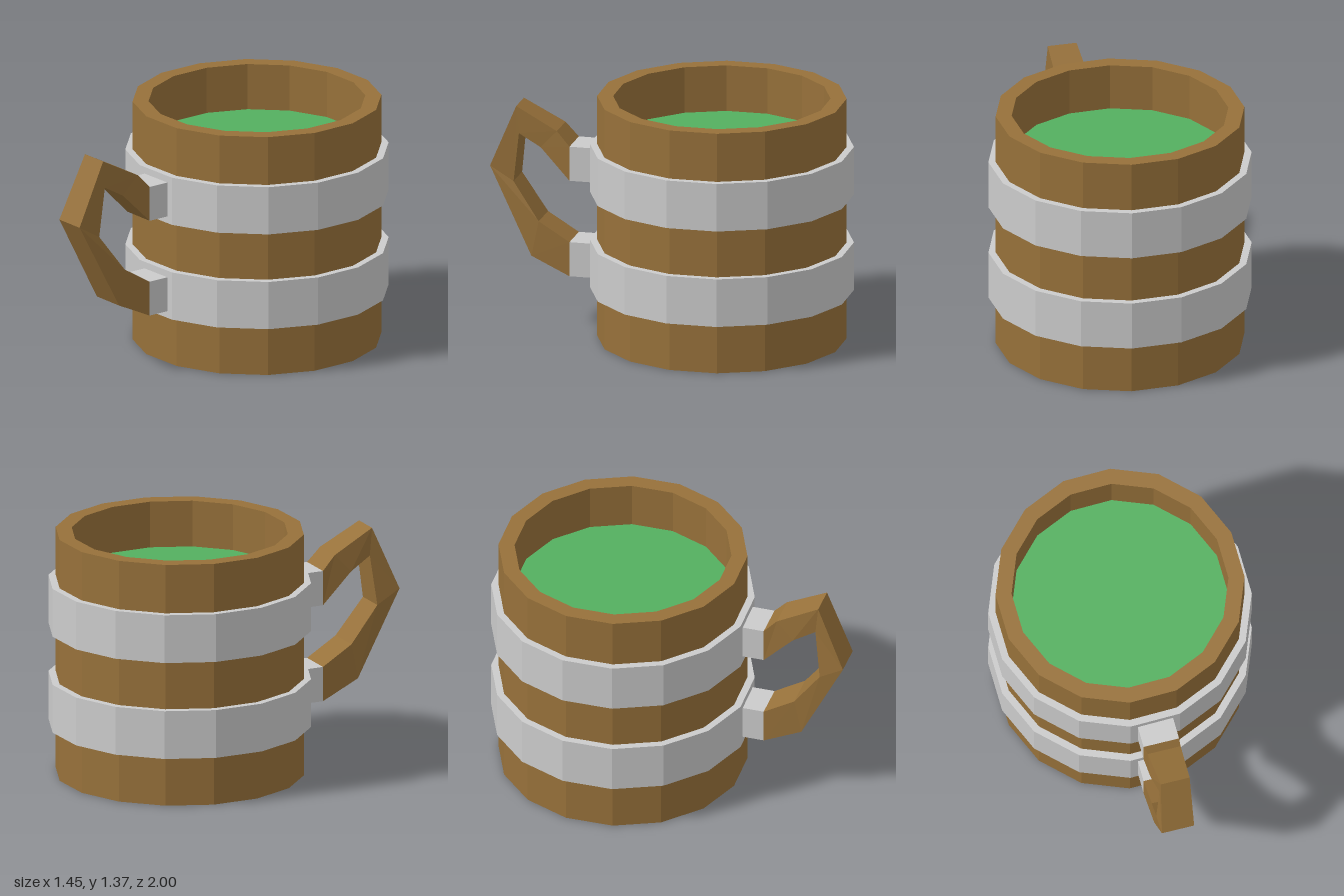
import * as THREE from 'three';

const material = (color) => new THREE.MeshStandardMaterial({ color, flatShading: true });
const wood = material(0x97713a);
const metal = material(0xcccccc);
const green = material(0x54b060);

const SIDES = 16;
const CENTER_Z = -0.277;

function addMesh(group, name, geometry, mat) {
  const mesh = new THREE.Mesh(geometry, mat);
  mesh.name = name;
  group.add(mesh);
  return mesh;
}

// Faceted ring or vessel turned from [radius, height] points.
function turned(points) {
  return new THREE.LatheGeometry(points.map(([r, y]) => new THREE.Vector2(r, y)), SIDES)
    .translate(0, 0, CENTER_Z);
}

// Capped four-sided bar. Each section gives its outer and inner corners [x, y, z]
// on the left face, and the width across to the right face.
function bar(sections) {
  const positions = [];
  const index = [];
  for (const { outer, inner, width } of sections) {
    const across = ([x, y, z]) => [x - width * 0.976, y, z - width * 0.218];
    positions.push(...outer, ...inner, ...across(inner), ...across(outer));
  }
  for (let s = 0; s < sections.length - 1; s++) {
    for (let k = 0; k < 4; k++) {
      const a = s * 4 + k;
      const b = s * 4 + (k + 1) % 4;
      index.push(a, a + 4, b + 4, a, b + 4, b);
    }
  }
  const e = (sections.length - 1) * 4;
  index.push(0, 1, 2, 0, 2, 3, e, e + 2, e + 1, e, e + 3, e + 2);
  const geometry = new THREE.BufferGeometry();
  geometry.setAttribute('position', new THREE.Float32BufferAttribute(positions, 3));
  geometry.setIndex(index);
  const flat = geometry.toNonIndexed();
  flat.computeVertexNormals();
  return flat;
}

export function createModel() {
  const mug = new THREE.Group();
  mug.name = 'mug';

  // Wooden vessel with a thick rim
  addMesh(mug, 'vessel', turned([
    [0, 0], [0.683, 0], [0.683, 1.37], [0.595, 1.37], [0.595, 1.08],
  ]), wood);

  // Drink surface
  const drink = addMesh(mug, 'drink', new THREE.CircleGeometry(0.595, SIDES), green);
  drink.rotation.x = -Math.PI / 2;
  drink.position.set(0, 1.11, CENTER_Z);

  // Metal hoops
  [['lowerHoop', 0.277], ['upperHoop', 0.823]].forEach(([name, y]) => {
    addMesh(mug, name, turned([
      [0.67, y], [0.723, y], [0.723, y + 0.272], [0.67, y + 0.272],
    ]), metal);
  });

  // Metal brackets joining the handle to the hoops
  [['lowerBracket', 0.316], ['upperBracket', 0.862]].forEach(([name, y]) => {
    addMesh(mug, name, bar([[-0.024, 0.37], [-0.064, 0.56]].map(([x, z]) => ({
      outer: [x, y + 0.195, z], inner: [x, y, z], width: 0.2,
    }))), metal);
  });

  // Angular wooden handle, top joint to bottom joint
  addMesh(mug, 'handle', bar([
    { outer: [-0.064, 1.057, 0.56], inner: [-0.064, 0.862, 0.56], width: 0.2 },
    { outer: [-0.09, 1.137, 0.63], inner: [-0.12, 1.035, 0.72], width: 0.185 },
    { outer: [-0.149, 1.26, 0.855], inner: [-0.149, 1.105, 0.84], width: 0.163 },
    { outer: [-0.195, 0.905, 1.0], inner: [-0.164, 0.826, 0.87], width: 0.182 },
    { outer: [-0.106, 0.418, 0.77], inner: [-0.1, 0.617, 0.73], width: 0.2 },
    { outer: [-0.064, 0.316, 0.56], inner: [-0.064, 0.511, 0.56], width: 0.2 },
  ]), wood);

  return mug;
}
